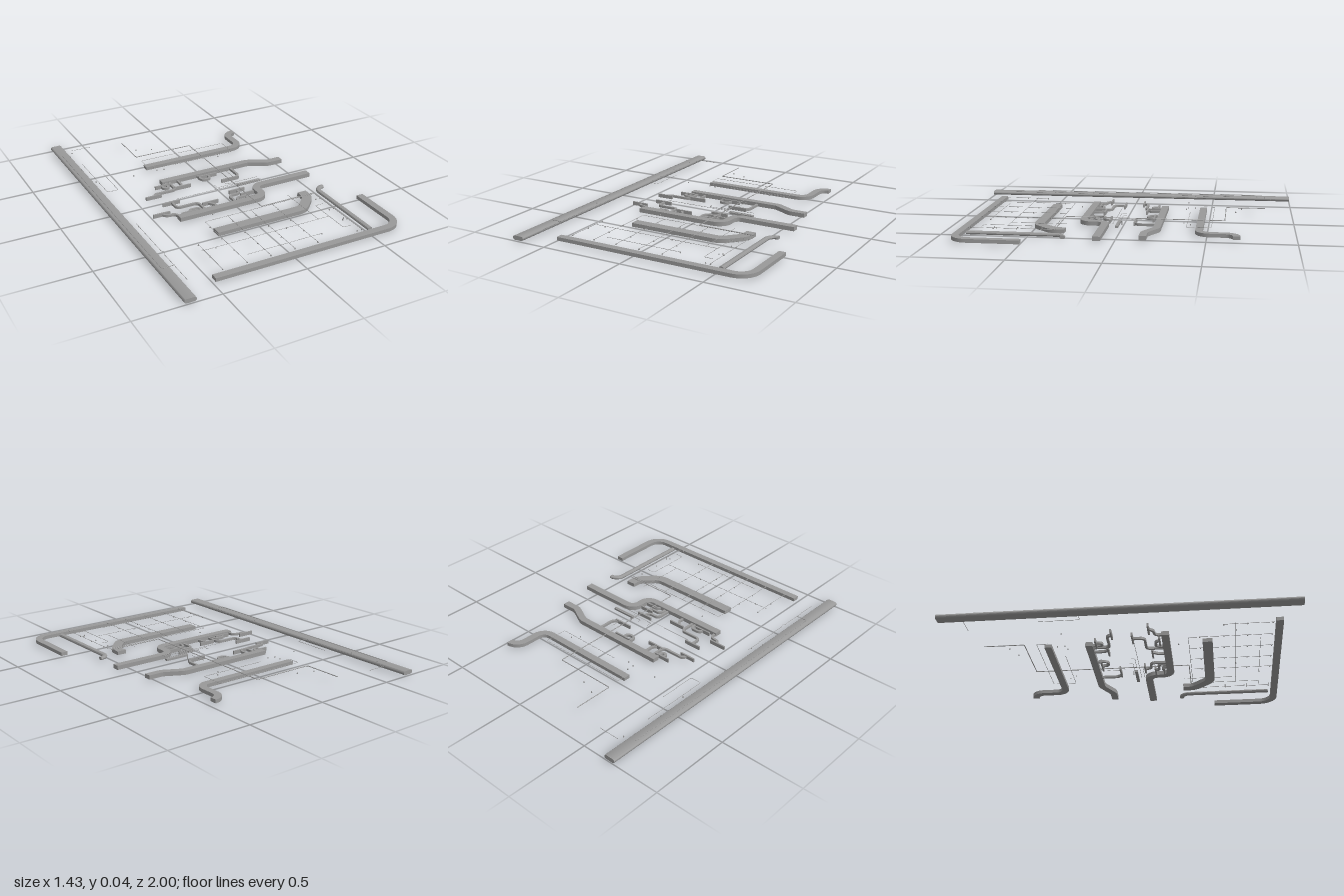
import * as THREE from 'three';
import { toCreasedNormals } from 'three/addons/utils/BufferGeometryUtils.js';

const material = new THREE.MeshStandardMaterial({ color: 0x999999, side: THREE.DoubleSide });

// Plan path [x, z] with every corner replaced by an arc of radius r
function roundPath(pts, r, steps) {
  const P = pts.map(p => new THREE.Vector2(...p));
  const out = [P[0]];
  for (let i = 1; i < P.length - 1; i++) {
    const din = P[i].clone().sub(P[i - 1]), dout = P[i + 1].clone().sub(P[i]);
    // inner segments are shared by two bends, end segments by one
    const lim = Math.min(din.length() * (i === 1 ? 0.98 : 0.49), dout.length() * (i === P.length - 2 ? 0.98 : 0.49));
    din.normalize(); dout.normalize();
    const th = Math.acos(THREE.MathUtils.clamp(din.dot(dout), -1, 1));
    const d = Math.min(r * Math.tan(th / 2), lim);
    const k = d / Math.tan(th / 2) * 4 / 3 * Math.tan(th / 4);
    const a = P[i].clone().addScaledVector(din, -d), b = P[i].clone().addScaledVector(dout, d);
    const arc = new THREE.CubicBezierCurve(a, a.clone().addScaledVector(din, k), b.clone().addScaledVector(dout, -k), b);
    out.push(...arc.getPoints(steps));
  }
  out.push(P[P.length - 1]);
  return out;
}

// Sweep a [side, up] profile along a level path, with mitred rings and end caps
function sweep(path, profile, y) {
  const rings = path.map((p, i) => {
    const a = p.clone().sub(path[Math.max(i - 1, 0)]).normalize();
    const b = path[Math.min(i + 1, path.length - 1)].clone().sub(p).normalize();
    const t = a.clone().add(b).normalize();
    const m = 1 / Math.max(0.4, t.dot(i ? a : b));
    return profile.map(([u, v]) => [p.x - t.y * u * m, y + v, p.y + t.x * u * m]);
  });
  const pos = [], n = profile.length, last = rings[rings.length - 1];
  const tri = (...c) => c.forEach(v => pos.push(...v));
  for (let i = 0; i < rings.length - 1; i++) {
    for (let j = 0; j < n; j++) {
      const k = (j + 1) % n, A = rings[i], B = rings[i + 1];
      tri(A[j], B[j], B[k]);
      tri(A[j], B[k], A[k]);
    }
  }
  for (let j = 1; j < n - 1; j++) {
    tri(rings[0][0], rings[0][j], rings[0][j + 1]);
    tri(last[0], last[j + 1], last[j]);
  }
  const g = new THREE.BufferGeometry();
  g.setAttribute('position', new THREE.Float32BufferAttribute(pos, 3));
  return toCreasedNormals(g, 0.6);
}

const rect = (w, h) => [[w / 2, -h / 2], [w / 2, h / 2], [-w / 2, h / 2], [-w / 2, -h / 2]];
function stadium(w, h, seg) {
  const s = [];
  for (let side = 0; side < 2; side++) {
    for (let i = 0; i <= seg; i++) {
      const a = -Math.PI / 2 + side * Math.PI + i / seg * Math.PI;
      s.push([(side ? -1 : 1) * (w - h) / 2 + Math.cos(a) * h / 2, Math.sin(a) * h / 2]);
    }
  }
  return s;
}
const round = (r, n = 12) => Array.from({ length: n }, (_, i) => [r * Math.cos(i / n * 2 * Math.PI), r * Math.sin(i / n * 2 * Math.PI)]);

export function createModel() {
  const model = new THREE.Group();
  model.name = 'ductwork';
  const add = (name, geo, parent = model) => {
    const m = new THREE.Mesh(geo, material);
    m.name = name;
    parent.add(m);
    return m;
  };
  const group = name => {
    const g = new THREE.Group();
    g.name = name;
    g.position.z = 0.005;
    model.add(g);
    return g;
  };

  // Long flat-oval trunk and the slim side duct
  add('mainTrunk', sweep(roundPath([[-0.68, -1], [-0.68, 1]], 0, 1), stadium(0.07, 0.025, 8), 0.02));
  add('sideDuct', sweep(roundPath([[0.515, 0.842], [0.515, 0.285], [0.568, 0.285]], 0.05, 8), stadium(0.03, 0.02, 4), 0.021));

  // Rectangular supply ducts: name, path, width, height, centre y, bend radius
  [
    ['backDuct', [[-0.28, -0.454], [0.404, -0.454], [0.404, -0.668], [0.469, -0.668]], 0.042, 0.021, 0.021, 0.064],
    ['upperRoomDuct', [[-0.28, -0.213], [0.32, -0.213], [0.435, -0.153], [0.532, -0.153]], 0.042, 0.025, 0.0215, 0.07],
    ['lowerRoomDuct', [[-0.375, 0.237], [0.19, 0.237], [0.19, 0.096], [0.582, 0.096]], 0.044, 0.025, 0.0215, 0.055],
    ['wideDuct', [[-0.262, 0.475], [0.305, 0.475], [0.406, 0.37], [0.406, 0.302]], 0.058, 0.023, 0.0215, 0.09],
    ['frontDuct', [[-0.488, 0.88], [0.691, 0.88], [0.691, 0.495]], 0.042, 0.021, 0.0208, 0.09],
    ['centreDuct', [[0.12, 0.025], [0.275, 0.025]], 0.018, 0.012, 0.02, 0],
  ].forEach(([name, pts, w, h, y, r]) => add(name, sweep(roundPath(pts, r, 8), rect(w, h), y)));

  // Branches from the room ducts to wall grilles: grille x range, grille z, branch path
  const outlets = group('outlets');
  [
    [-0.34, -0.24, -0.175, [[-0.295, -0.173], [-0.295, -0.14], [-0.262, -0.14], [-0.262, -0.2]]],
    [-0.445, -0.345, -0.073, [[-0.385, -0.072], [-0.385, -0.1], [-0.235, -0.1], [-0.235, -0.2]]],
    [-0.24, -0.13, -0.114, [[-0.195, -0.113], [-0.178, -0.14], [-0.178, -0.2]]],
    [-0.045, 0.08, -0.177, [[0.02, -0.177], [0.02, -0.135], [-0.04, -0.135], [-0.04, -0.2]]],
    [0.06, 0.18, -0.073, [[0.165, -0.072], [0.19, -0.1], [0.19, -0.2]]],
    [-0.39, -0.28, 0.042, [[-0.33, 0.043], [-0.33, 0.112], [-0.193, 0.112], [-0.193, 0.215]]],
    [-0.495, -0.39, 0.142, [[-0.44, 0.145], [-0.42, 0.168], [-0.365, 0.175], [-0.365, 0.215]]],
    [-0.34, -0.235, 0.195, [[-0.287, 0.197], [-0.287, 0.17], [-0.215, 0.17], [-0.215, 0.215]]],
    [-0.18, -0.075, 0.142, [[-0.14, 0.145], [-0.115, 0.18], [-0.115, 0.215]]],
    [0.03, 0.135, 0.08, [[0.085, 0.08], [0.085, 0.12], [0.008, 0.12], [0.008, 0.215]]],
    [0.075, 0.165, 0.142, [[0.11, 0.145], [0.11, 0.165], [0.03, 0.165], [0.03, 0.215]]],
    [0.08, 0.165, 0.195, [[0.12, 0.197], [0.095, 0.175], [0.07, 0.215]]],
  ].forEach(([x0, x1, z, pts]) => {
    add('grille', new THREE.BoxGeometry(x1 - x0, 0.022, 0.01), outlets).position.set((x0 + x1) / 2, 0.018, z);
    add('branchDuct', sweep(roundPath(pts, 0.025, 5), rect(0.014, 0.014), 0.018), outlets);
  });

  // Overhead pipes: the supply main, then the thin runs
  const pipes = group('pipes');
  const pipe = (name, r, y, pts) => add(name, sweep(roundPath(pts, 0.008, 3), round(r), y), pipes);
  pipe('mainPipe', 0.0025, 0.035, [[-0.28, -0.84], [-0.28, -0.6], [0.1, -0.6], [0.1, 0.348], [0.45, 0.348]]);
  pipe('trunkPipe', 0.0018, 0.037, [[-0.695, -0.83], [-0.695, 0.69], [-0.62, 0.69]]);
  [
    [[-0.275, -0.46], [-0.275, -0.528], [0.305, -0.528], [0.305, -0.385], [-0.11, -0.385]],
    [[-0.625, -0.66], [-0.625, -0.23], [-0.557, -0.23], [-0.557, -0.465]],
    [[-0.62, -0.88], [-0.49, -0.88]],
    [[-0.625, 0.2], [-0.625, 0.53], [-0.615, 0.55], [-0.625, 0.57], [-0.625, 0.845]],
    [[-0.3, 0.042], [0.27, 0.042]],
    [[-0.02, -0.01], [-0.02, 0.025], [0.12, 0.025]],
    [[0.05, -0.015], [0.05, 0.008], [0.27, 0.008]],
    [[0.135, -0.16], [0.135, -0.05]],
    [[0.115, 0.062], [0.27, 0.062]],
    [[-0.275, 0.85], [-0.275, 0.36], [0.455, 0.36], [0.455, 0.85]],
    [[-0.435, 0.632], [0.378, 0.632]],
    [[-0.235, 0.775], [0.235, 0.775]],
    [[0.305, 0.305], [0.305, 0.632]],
    [[0.43, 0.49], [0.378, 0.49], [0.378, 0.775], [0.43, 0.775]],
    [[-0.42, 0.565], [-0.42, 0.85]],
    ...[-0.13, 0.02, 0.165].map(x => [[x, 0.36], [x, 0.85]]),
  ].forEach(pts => pipe('thinPipe', 0.0012, 0.037, pts));

  // Sprinkler heads on the pipe grid and scattered over the plan
  const heads = group('sprinklerHeads');
  const spots = [
    [-0.24, -0.695], [-0.145, -0.66], [-0.625, -0.845], [-0.655, -0.795], [-0.655, -0.59], [-0.635, -0.39],
    [-0.4, -0.36], [-0.24, -0.41], [-0.24, -0.365], [-0.195, -0.355], [0.19, -0.365], [0.225, -0.405],
    [-0.625, 0.23], [-0.655, 0.3], [-0.195, 0.3], [0.44, 0.685], [-0.35, 0.635], [0.095, 0.632], [0.235, 0.775],
  ];
  for (const z of [0.425, 0.565, 0.7, 0.84]) {
    for (const x of [-0.42, -0.275, -0.13, 0.02, 0.165, 0.425, 0.455]) {
      if (x > -0.4 || z > 0.5) spots.push([x, z]);
    }
  }
  const headGeo = new THREE.CylinderGeometry(0.003, 0.004, 0.007, 8);
  spots.forEach(([x, z]) => add('head', headGeo, heads).position.set(x, 0.035, z));

  // Drain drop reaching the lowest level
  add('drainDrop', new THREE.CylinderGeometry(0.003, 0.003, 0.022, 8)).position.set(0.13, 0.011, 0.01);
  return model;
}
